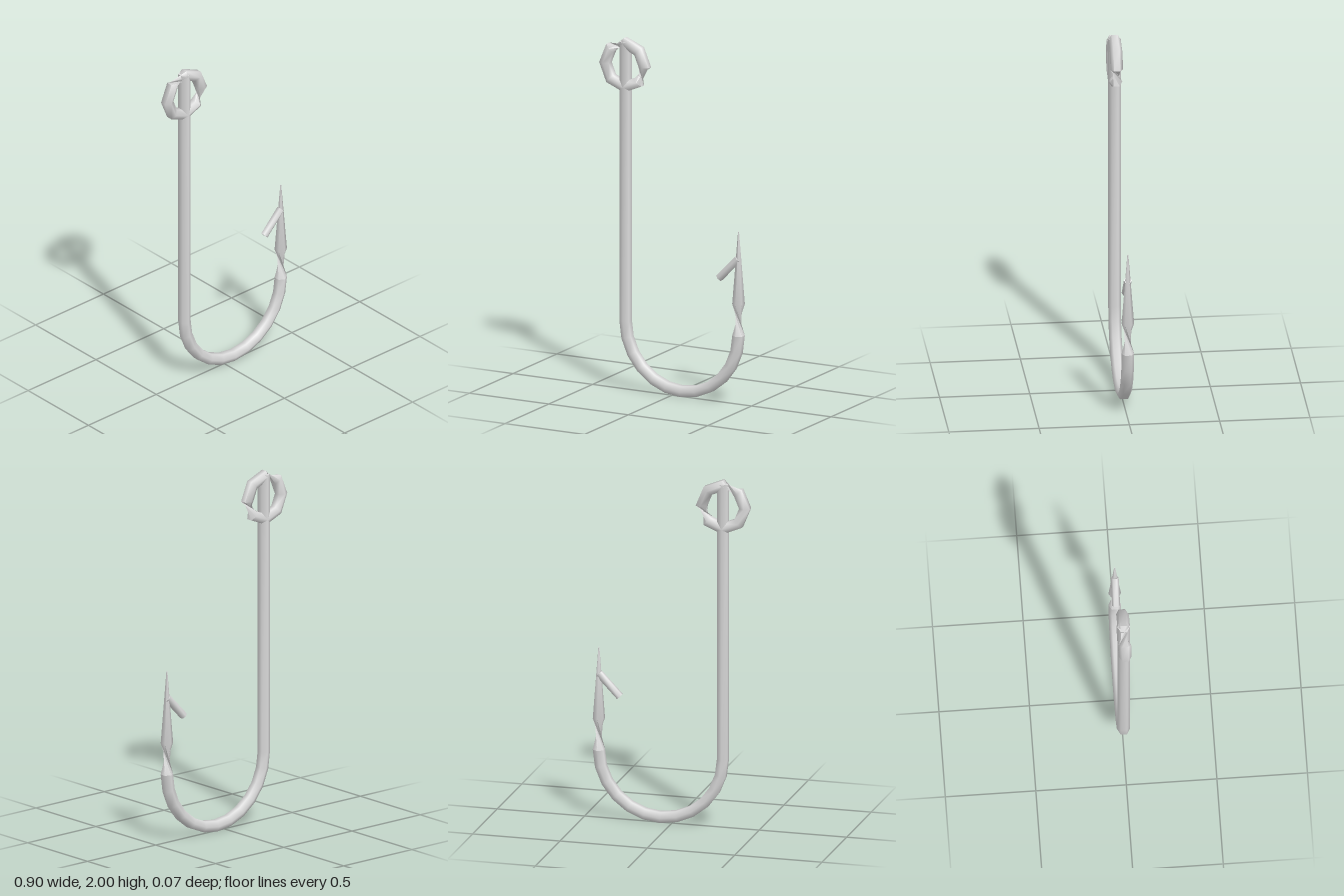
import * as THREE from 'three';
import { toCreasedNormals } from 'three/addons/utils/BufferGeometryUtils.js';

const SIDES = 6;
const WIRE = 0.035;

// Sweeps a hexagon along stations { x, y, dir, r, turn } lying in the xy plane.
// dir is the travel angle; turn rolls the section by whole sixths, making pinched twists.
function sweep(stations, capped) {
  const pos = [], index = [];
  for (const { x, y, dir, r = WIRE, turn = 0 } of stations) {
    for (let i = 0; i < SIDES; i++) {
      const a = ((i + turn) / SIDES) * Math.PI * 2 + Math.PI / 2;
      const n = Math.cos(a) * r;
      pos.push(x - Math.sin(dir) * n, y + Math.cos(dir) * n, Math.sin(a) * r);
    }
  }
  for (let s = 0; s < stations.length - 1; s++) {
    for (let i = 0; i < SIDES; i++) {
      const j = (i + 1) % SIDES;
      const a = s * SIDES + i, b = s * SIDES + j;
      index.push(a, b, b + SIDES, a, b + SIDES, a + SIDES);
    }
  }
  if (capped) {
    const e = (stations.length - 1) * SIDES;
    for (let i = 1; i < SIDES - 1; i++) {
      index.push(0, i + 1, i, e, e + i, e + i + 1);
    }
  }
  const geo = new THREE.BufferGeometry();
  geo.setAttribute('position', new THREE.Float32BufferAttribute(pos, 3));
  geo.setIndex(index);
  return toCreasedNormals(geo, 1.2);
}

export function createModel() {
  const model = new THREE.Group();
  model.name = 'fishHook';
  const steel = new THREE.MeshStandardMaterial({ color: 0xd9d9d9, side: THREE.DoubleSide });
  steel.name = 'steel';
  const add = (name, geo) => {
    const mesh = new THREE.Mesh(geo, steel);
    mesh.name = name;
    model.add(mesh);
  };

  // Straight shank running into the half-round bend
  const up = Math.PI / 2;
  const body = [{ x: -0.292, y: 1.98, dir: -up }];
  const steps = 12;
  for (let i = 0; i <= steps; i++) {
    const a = Math.PI + (i / steps) * Math.PI;
    body.push({ x: 0.063 + Math.cos(a) * 0.355, y: 0.395 + Math.sin(a) * 0.36, dir: a + up });
  }
  add('shankAndBend', sweep(body, true));

  // Twisted neck and tapering point
  add('point', sweep([
    { x: 0.418, y: 0.395, dir: up },
    { x: 0.418, y: 0.575, dir: up, turn: 3 },
    { x: 0.418, y: 0.985, dir: up, r: 0.003, turn: 3 },
  ], true));

  // Eight-sided eye with twisted lengths at upper left and lower right
  const eye = [];
  for (let k = 0; k <= 8; k++) {
    const a = (k / 8) * Math.PI * 2;
    eye.push({
      x: -0.295 + Math.cos(a) * 0.124,
      y: 1.848 + Math.sin(a) * 0.124,
      dir: a + up,
      turn: (k >= 3 ? 2 : 0) + (k >= 8 ? 3 : 0),
    });
  }
  add('eye', sweep(eye, false));

  // Barb slanting down and inward from the point
  const from = new THREE.Vector2(0.417, 0.832), to = new THREE.Vector2(0.297, 0.708);
  const dir = to.clone().sub(from).angle();
  add('barb', sweep([
    { x: from.x, y: from.y, dir, r: 0.022 },
    { x: to.x, y: to.y, dir, r: 0.022 },
  ], true));

  return model;
}
